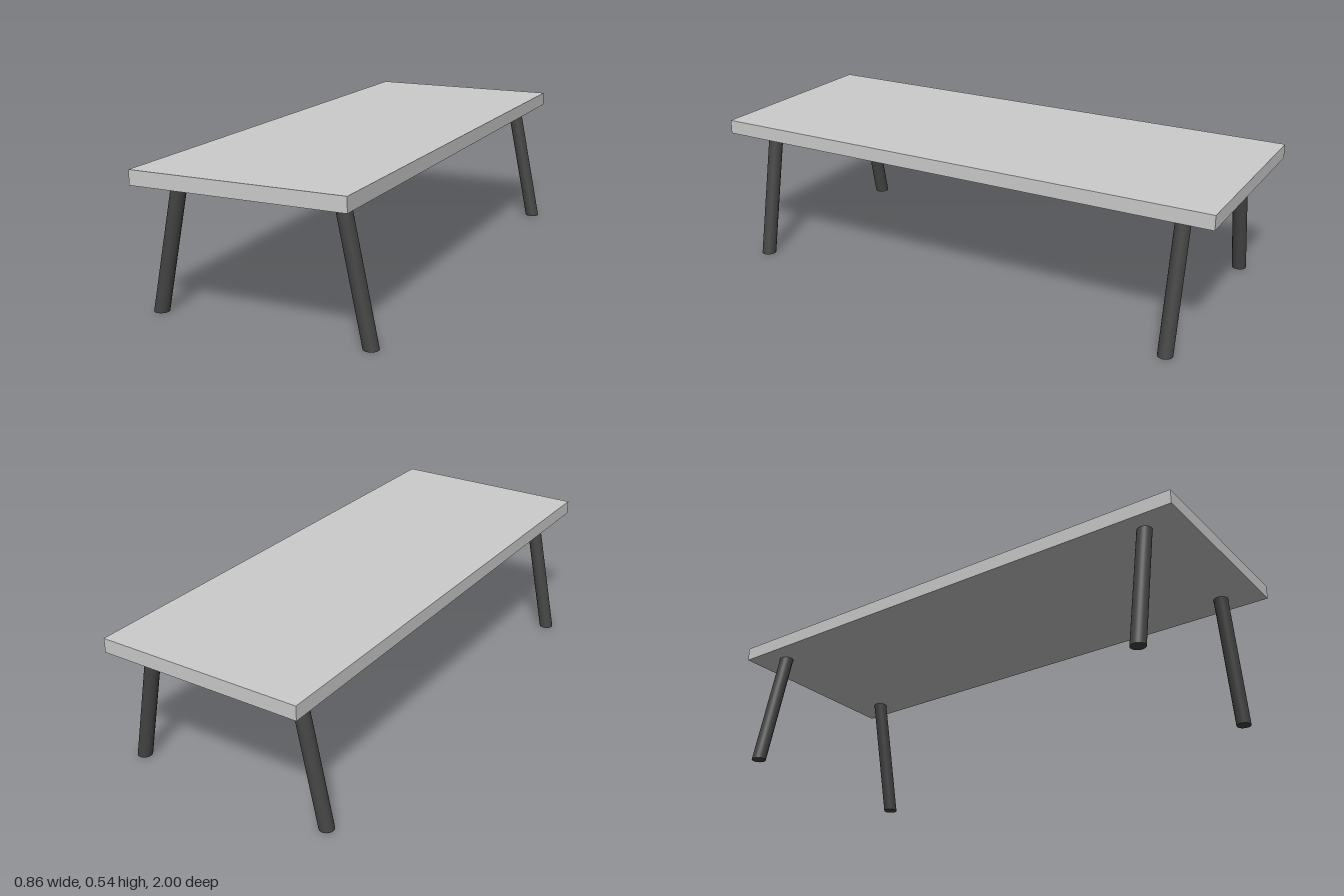
import * as THREE from 'three';

const TOP_BOTTOM = 0.483, TOP_HEIGHT = 0.053;

export function createModel() {
  const table = new THREE.Group();
  table.name = 'table';
  const topMaterial = new THREE.MeshStandardMaterial({ color: 0xcccccc });
  const legMaterial = new THREE.MeshStandardMaterial({ color: 0x444444 });

  // Flat rectangular top
  const top = new THREE.Mesh(new THREE.BoxGeometry(0.786, TOP_HEIGHT, 2), topMaterial);
  top.name = 'tableTop';
  top.position.y = TOP_BOTTOM + TOP_HEIGHT / 2;
  table.add(top);

  // Round legs, sheared outward so both ends stay level
  const addLeg = (name, side, z) => {
    const geometry = new THREE.CylinderGeometry(0.0275, 0.0275, TOP_BOTTOM, 32);
    const slope = (-side * 0.1) / TOP_BOTTOM;
    geometry.applyMatrix4(new THREE.Matrix4().makeShear(0, 0, slope, 0, 0, 0));
    const leg = new THREE.Mesh(geometry, legMaterial);
    leg.name = name;
    leg.position.set(side * 0.35, TOP_BOTTOM / 2, z);
    table.add(leg);
  };
  for (const [end, z] of [['front', 0.85], ['back', -0.865]]) {
    addLeg(end + 'LeftLeg', 1, z);
    addLeg(end + 'RightLeg', -1, z);
  }
  return table;
}
